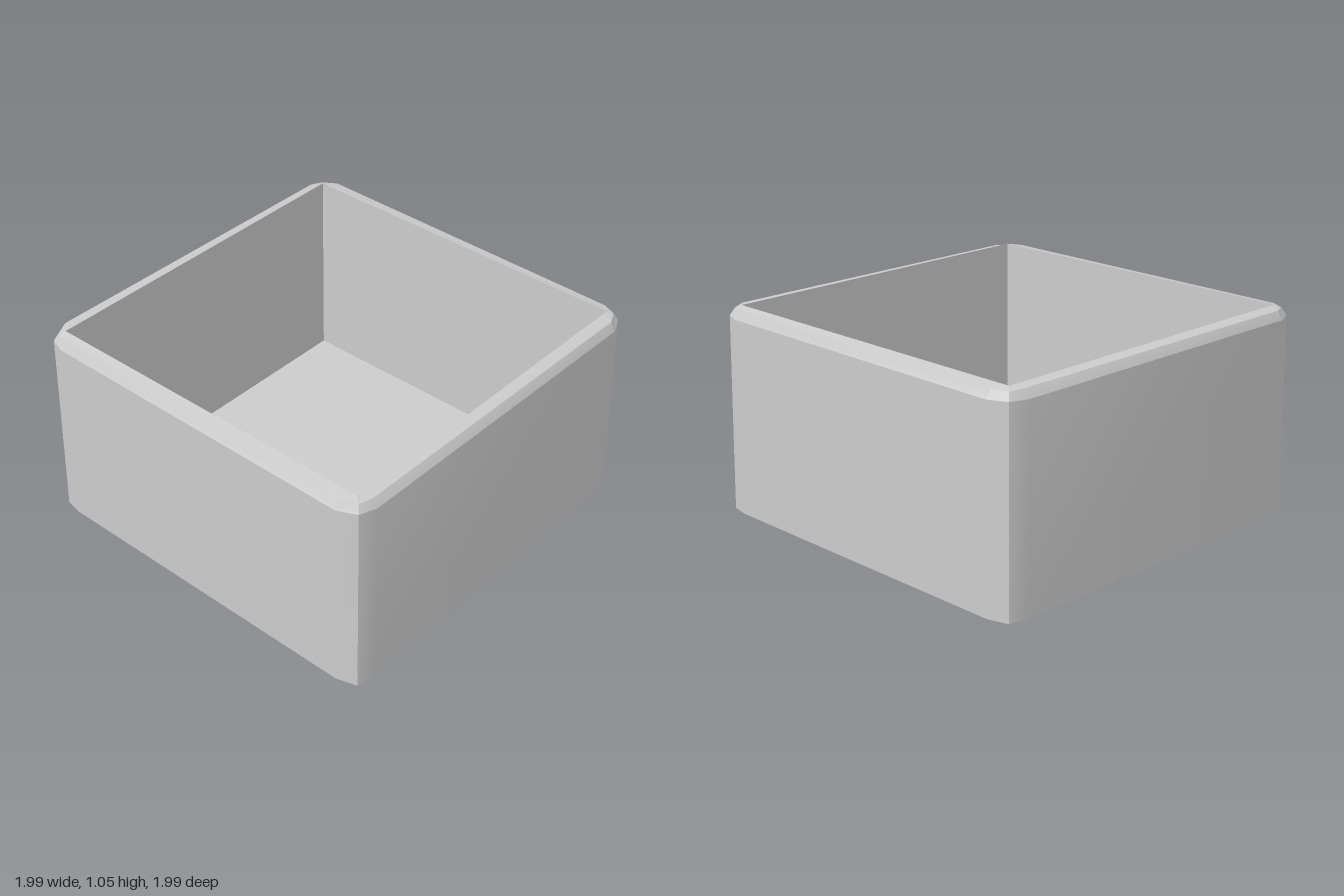
import * as THREE from 'three';
import { toCreasedNormals } from 'three/addons/utils/BufferGeometryUtils.js';

const material = new THREE.MeshStandardMaterial({ color: 0xcccccc });

// Repeat one corner (three [x, y, z] points) around the four sides
function ring(corner) {
  const points = [];
  let quarter = corner;
  for (let k = 0; k < 4; k++) {
    points.push(...quarter);
    quarter = quarter.map(([x, y, z]) => [-z, y, x]);
  }
  return points;
}

// Softly chamfered corner: side offset a, corner offset c, side height y, corner height yc
const soft = (a, c, y, yc = y) => ring([[a - 0.006, y, 0.87], [c, yc, c], [0.86, y, a + 0.006]]);
// Sharp square corner
const square = (s, y) => ring([[s, y, 0.87], [s, y, s], [0.87, y, s]]);
const centre = (y) => ring([[0, y, 0], [0, y, 0], [0, y, 0]]);

// Skin consecutive rings; rings listed bottom to top face outwards
function loft(name, rings, crease) {
  const pos = [];
  const tri = (a, b, c) => {
    const [p, q, r] = [a, b, c].map((v) => new THREE.Vector3(...v));
    if (q.sub(p).cross(r.sub(p)).length() > 1e-9) pos.push(...a, ...b, ...c);
  };
  for (let i = 0; i < rings.length - 1; i++) {
    const lo = rings[i], hi = rings[i + 1];
    for (let j = 0; j < lo.length; j++) {
      const n = (j + 1) % lo.length;
      tri(lo[j], hi[j], lo[n]);
      tri(lo[n], hi[j], hi[n]);
    }
  }
  const geometry = new THREE.BufferGeometry();
  geometry.setAttribute('position', new THREE.Float32BufferAttribute(pos, 3));
  const mesh = new THREE.Mesh(toCreasedNormals(geometry, crease), material);
  mesh.name = name;
  return mesh;
}

export function createModel() {
  const group = new THREE.Group();
  group.name = 'openBox';

  // Underside and slightly tapering corners of the outer wall
  group.add(loft('outerWall', [centre(0), soft(0.99, 0.965, 0), soft(0.99, 0.953, 1)], 0.6));

  // Bevelled rim rising to its inner edge
  group.add(loft('rim', [
    soft(0.99, 0.953, 1),
    soft(0.965, 0.935, 1.043, 1.038),
    square(0.91, 1.052),
  ], 0.4));

  // Straight inside walls and floor
  group.add(loft('interior', [square(0.91, 1.052), square(0.91, 0.03), centre(0.03)], 0.3));

  return group;
}
